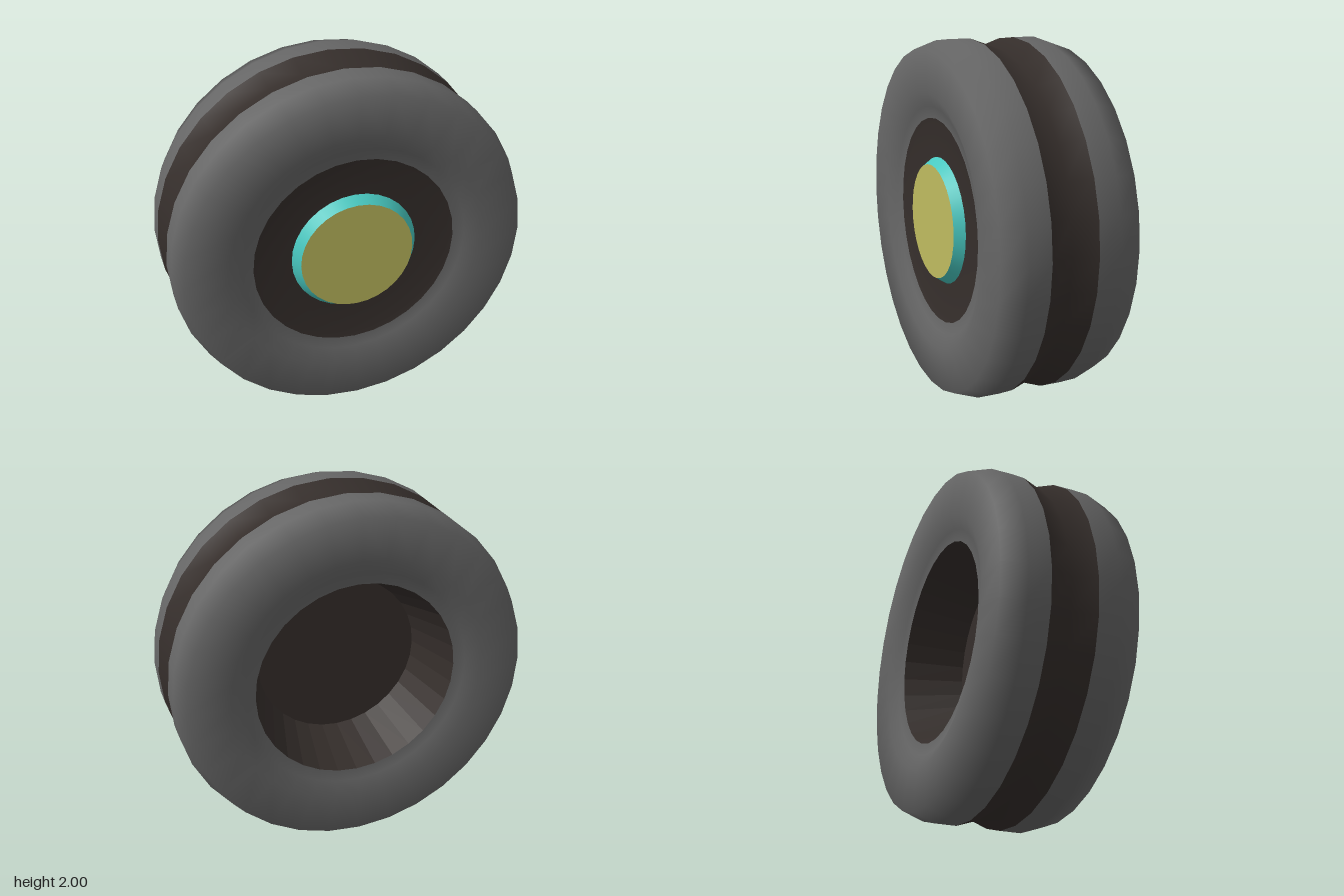
import * as THREE from 'three';

const SEGMENTS = 32;

export function createModel() {
  const wheel = new THREE.Group();
  wheel.name = 'wheel';

  const rubber = new THREE.MeshStandardMaterial({ color: 0x666666 });
  const dark = new THREE.MeshStandardMaterial({ color: 0x352e2b });
  const darkFaceted = new THREE.MeshStandardMaterial({ color: 0x352e2b, flatShading: true });
  const cyan = new THREE.MeshStandardMaterial({ color: 0x48c8c0 });
  const yellow = new THREE.MeshStandardMaterial({ color: 0xbfbb5f });

  // Spins a profile of [radius, z] points around the wheel's axle
  function ring(name, profile, material) {
    const points = profile.map(([r, z]) => new THREE.Vector2(r, z));
    const geometry = new THREE.LatheGeometry(points, SEGMENTS).rotateX(Math.PI / 2);
    const mesh = new THREE.Mesh(geometry, material);
    mesh.name = name;
    mesh.position.y = 1;
    wheel.add(mesh);
  }

  // Two mirrored tyre halves with rounded shoulders and inner lips
  const tyre = [[1, 0.13], [1, 0.255], [0.955, 0.385], [0.72, 0.385], [0.64, 0.345], [0.575, 0.335]];
  ring('frontTyre', tyre, rubber);
  ring('backTyre', tyre.map(([r, z]) => [r, -z]).reverse(), rubber);

  // V-shaped groove between the halves
  ring('treadGroove', [[1, -0.13], [0.955, 0], [1, 0.13]], dark);

  // Shallow front dish
  ring('frontDish', [[0.64, 0.345], [0.55, 0.315], [0.35, 0.31]], dark);

  // Hub cap with a bevelled rim
  ring('hubRim', [[0.36, 0.305], [0.32, 0.365]], cyan);
  ring('hubCap', [[0.32, 0.365], [0, 0.365]], yellow);

  // Tapered recess at the back, closed by a flat disc
  ring('recessFloor', [[0, 0], [0.468, 0]], dark);
  ring('recessWall', [[0.468, 0], [0.575, -0.335]], darkFaceted);

  return wheel;
}
